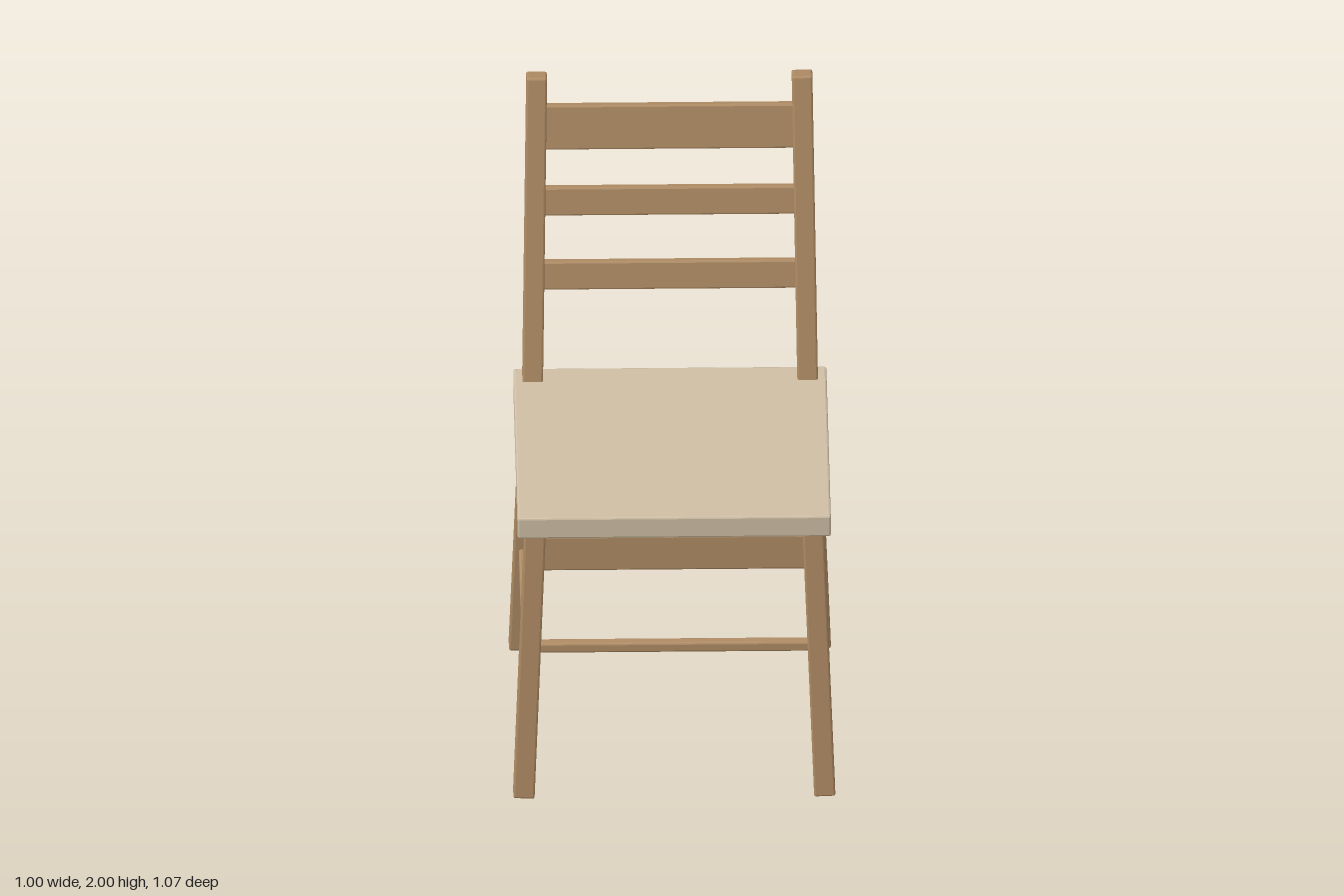
import * as THREE from 'three';
import { RoundedBoxGeometry } from 'three/addons/geometries/RoundedBoxGeometry.js';

const wood = new THREE.MeshStandardMaterial({ color: 0xb08d65, flatShading: true });
const seatWood = new THREE.MeshStandardMaterial({ color: 0xcfbfa5, flatShading: true });
const UP = new THREE.Vector3(0, 1, 0);

// Box with a small chamfer on every edge
function board(name, w, h, d, x, y, z, material = wood) {
  const mesh = new THREE.Mesh(new RoundedBoxGeometry(w, h, d, 1, 0.006), material);
  mesh.name = name;
  mesh.position.set(x, y, z);
  return mesh;
}

// Square bar running from point a to point b
function bar(name, a, b, size) {
  const from = new THREE.Vector3(...a);
  const dir = new THREE.Vector3(...b).sub(from);
  const length = dir.length();
  const mid = from.clone().addScaledVector(dir, 0.5);
  const mesh = board(name, size, length, size, mid.x, mid.y, mid.z);
  mesh.quaternion.setFromUnitVectors(UP, dir.normalize());
  return mesh;
}

export function createModel() {
  const chair = new THREE.Group();
  chair.name = 'chair';

  // Seat
  chair.add(board('seat', 0.97, 0.073, 0.925, 0, 0.9635, 0.0575, seatWood));

  for (const [side, s] of [['left', 1], ['right', -1]]) {
    // Splayed legs
    chair.add(bar(side + 'FrontLeg', [s * 0.466, 0.002, 0.502], [s * 0.431, 0.926, 0.466], 0.066));
    chair.add(bar(side + 'BackLeg', [s * 0.466, 0.002, -0.412], [s * 0.431, 0.926, -0.352], 0.066));
    // Leaning back post
    chair.add(bar(side + 'BackPost', [s * 0.426, 0.985, -0.35], [s * 0.411, 1.995, -0.503], 0.064));
    // Side apron and side stretcher
    chair.add(board(side + 'Apron', 0.03, 0.122, 0.78, s * 0.431, 0.85, 0.057));
    chair.add(board(side + 'Stretcher', 0.033, 0.033, 0.83, s * 0.452, 0.363, 0.05));
  }

  // Front and back aprons
  chair.add(board('frontApron', 0.82, 0.122, 0.03, 0, 0.85, 0.466));
  chair.add(board('backApron', 0.82, 0.122, 0.03, 0, 0.85, -0.352));

  // Cross stretcher
  chair.add(board('crossStretcher', 0.85, 0.033, 0.035, 0, 0.273, 0.057));

  // Back slats, tilted with the posts
  for (const [y, h] of [[1.825, 0.148], [1.581, 0.094], [1.337, 0.094]]) {
    const slat = board('backSlat', 0.79, h, 0.03, 0, y, -0.352 - (y - 1) * 0.1515);
    slat.rotation.x = -Math.atan(0.1515);
    chair.add(slat);
  }
  return chair;
}
